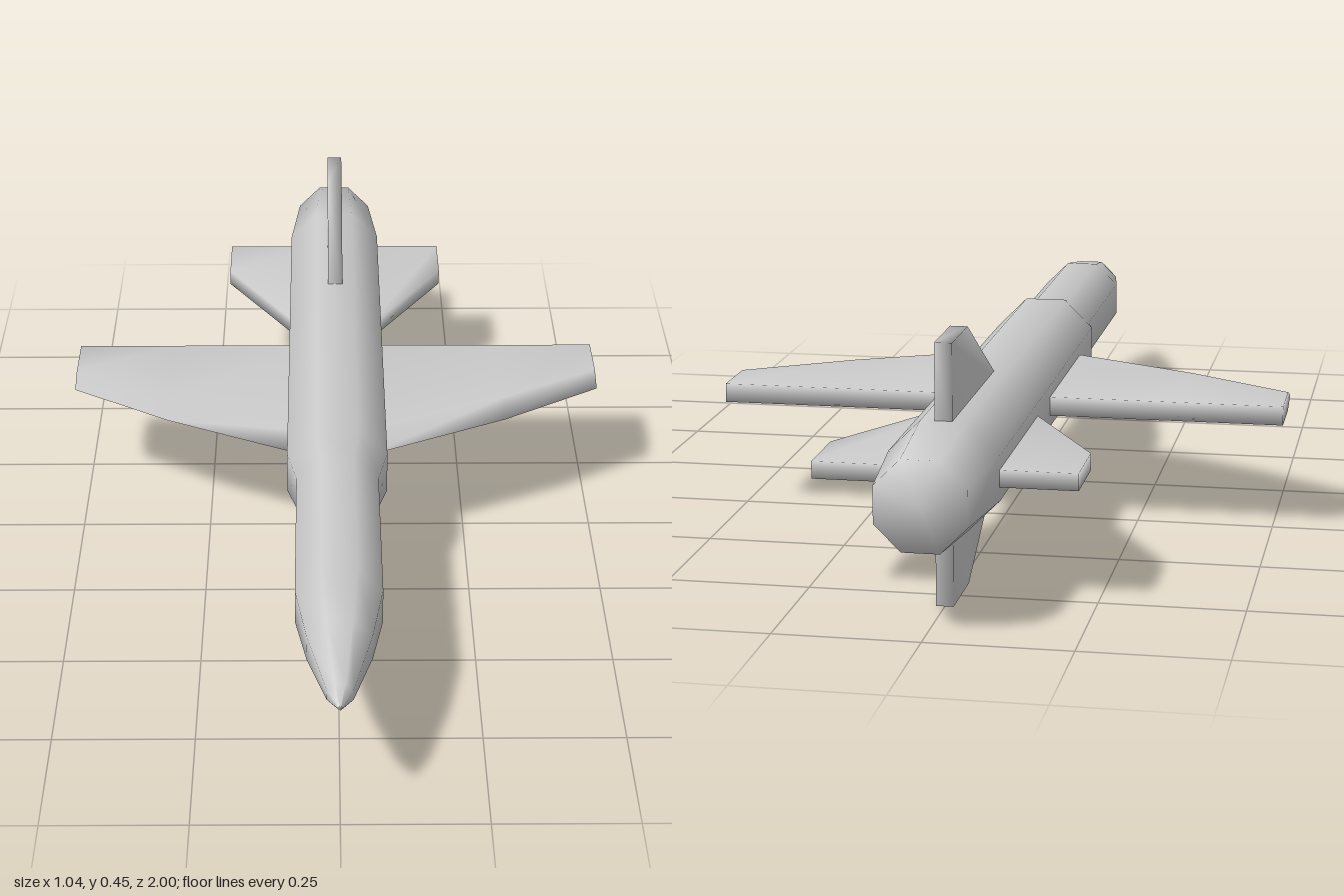
import * as THREE from 'three';

const AXIS_Y = 0.227;
const material = new THREE.MeshStandardMaterial({ color: 0xcccccc });

// Lofts closed [y, z] sections placed along x and closes the outer end.
function loft(sections) {
  const n = sections[0].points.length;
  const positions = [];
  const index = [];
  for (const { x, points } of sections) {
    for (const [y, z] of points) positions.push(x, y, z);
  }
  for (let s = 0; s < sections.length - 1; s++) {
    for (let i = 0; i < n; i++) {
      const a = s * n + i;
      const b = s * n + ((i + 1) % n);
      index.push(a, a + n, b + n, a, b + n, b);
    }
  }
  const tip = (sections.length - 1) * n;
  for (let i = 1; i < n - 1; i++) index.push(tip, tip + i + 1, tip + i);
  const geometry = new THREE.BufferGeometry();
  geometry.setAttribute('position', new THREE.Float32BufferAttribute(positions, 3));
  geometry.setIndex(index);
  geometry.computeVertexNormals();
  return geometry;
}

export function createModel() {
  const model = new THREE.Group();
  model.name = 'missile';

  const add = (name, geometry, roll = 0) => {
    const mesh = new THREE.Mesh(geometry, material);
    mesh.name = name;
    mesh.position.y = AXIS_Y;
    mesh.rotation.z = roll;
    model.add(mesh);
  };

  // Eight-sided body: [distance from axis to flat, z], tail to nose
  const profile = [
    [0, -1], [0.077, -1], [0.094, -0.81], [0.094, 0.2], [0.076, 0.28],
    [0.076, 0.68], [0.056, 0.81], [0.022, 0.955], [0, 1],
  ];
  const toCorner = 1 / Math.cos(Math.PI / 8);
  const body = new THREE.LatheGeometry(
    profile.map(([r, z]) => new THREE.Vector2(r * toCorner, z)), 8, Math.PI / 8);
  body.rotateX(Math.PI / 2);
  add('body', body);

  // Main wings: wedge-shaped leading edge, blunt trailing edge
  const t = 0.0175;
  const wingSection = (x, lead, bevel) => ({
    x,
    points: [[0, lead], [t, lead - bevel], [t, -0.308], [-t, -0.308], [-t, lead - bevel]],
  });
  const wing = loft([
    wingSection(0.05, 0.138, 0.07),
    wingSection(0.33, -0.013, 0.06),
    wingSection(0.52, -0.145, 0.05),
  ]);
  add('leftWing', wing);
  add('rightWing', wing, Math.PI);

  // Four tail fins: flat plates with a swept leading edge
  const f = 0.015;
  const finSection = (x, lead) => ({
    x,
    points: [[f, lead], [f, -0.812], [-f, -0.812], [-f, lead]],
  });
  const fin = loft([finSection(0.06, -0.38), finSection(0.226, -0.68)]);
  ['leftFin', 'topFin', 'rightFin', 'bottomFin'].forEach((name, i) =>
    add(name, fin, i * Math.PI / 2));

  return model;
}
